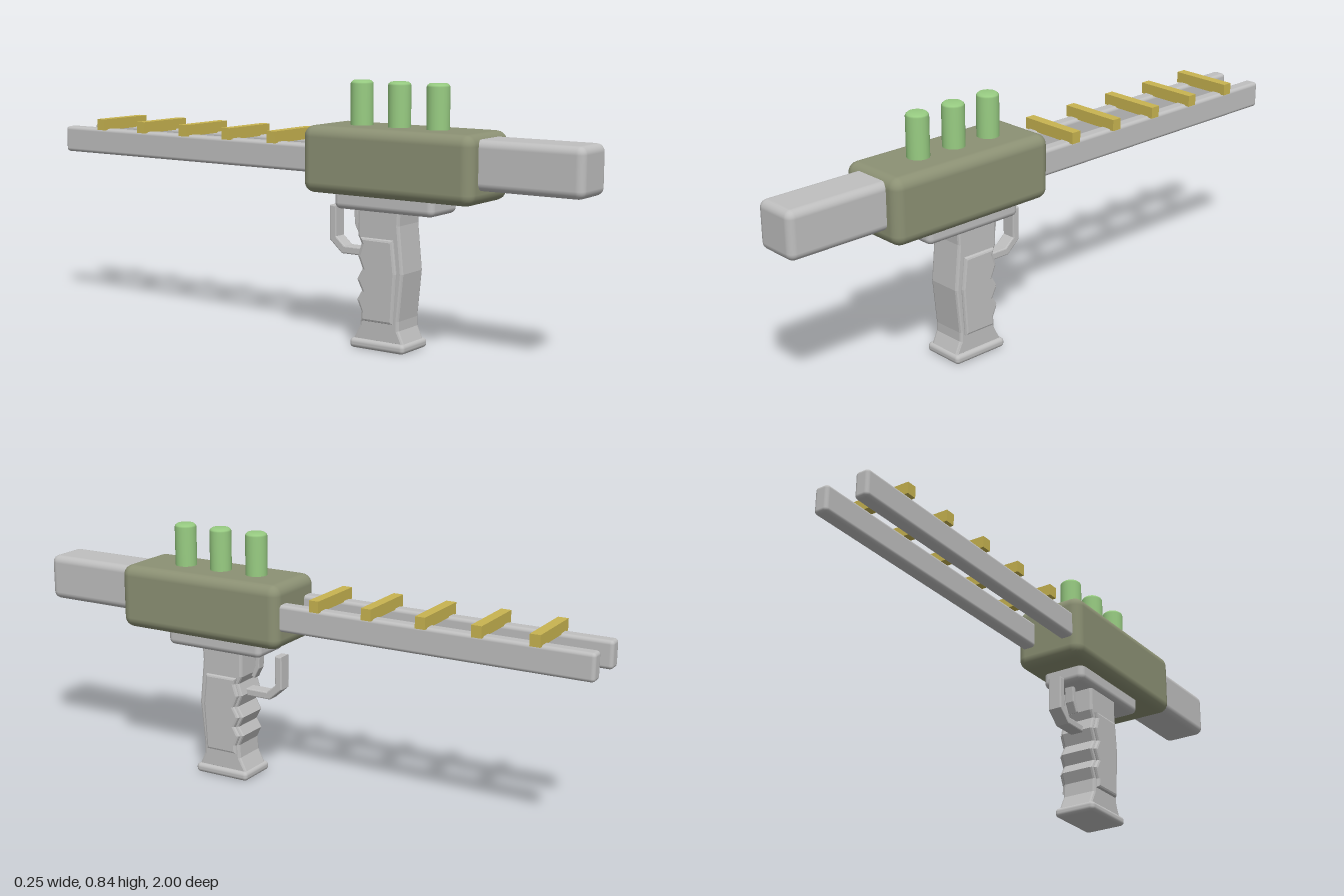
import * as THREE from 'three';
import { RoundedBoxGeometry } from 'three/addons/geometries/RoundedBoxGeometry.js';

const mat = (name, color) => {
  const m = new THREE.MeshStandardMaterial({ color });
  m.name = name;
  return m;
};

export function createModel() {
  const grey = mat('grey metal', 0xbfbfbf);
  const olive = mat('olive', 0x8c9174);
  const green = mat('light green', 0x98cc82);
  const gold = mat('gold', 0xc8b450);
  const model = new THREE.Group();

  const add = (name, geometry, material) => {
    const mesh = new THREE.Mesh(geometry, material);
    mesh.name = name;
    model.add(mesh);
    return mesh;
  };

  // Rounded box given by its limits on each axis
  const block = (name, [x0, x1], [y0, y1], [z0, z1], r, material) =>
    add(name, new RoundedBoxGeometry(x1 - x0, y1 - y0, z1 - z0, 3, r), material)
      .position.set((x0 + x1) / 2, (y0 + y1) / 2, (z0 + z1) / 2);

  // Side outline of [z, y] points, extruded across x with a small bevel
  const profile = (name, points, halfWidth, bevel, material) => {
    const shape = new THREE.Shape(points.map(([z, y]) => new THREE.Vector2(z, y)));
    const depth = 2 * (halfWidth - bevel);
    const geo = new THREE.ExtrudeGeometry(shape, {
      depth, bevelEnabled: true, bevelThickness: bevel, bevelSize: bevel,
      bevelOffset: -bevel, bevelSegments: 2,
    });
    geo.translate(0, 0, -depth / 2);
    geo.rotateY(-Math.PI / 2);
    return add(name, geo, material);
  };

  // Main housing, rear block and mounting plate
  block('body', [-0.123, 0.123], [0.487, 0.7], [0.05, 0.663], 0.035, olive);
  block('frontBlock', [-0.077, 0.077], [0.532, 0.685], [0.6, 1], 0.025, grey);
  block('gripMount', [-0.077, 0.077], [0.438, 0.53], [0.143, 0.507], 0.02, grey);

  // Twin rails with rungs across the top
  for (const s of [-1, 1]) {
    const x = s * 0.074;
    block(s < 0 ? 'rightRail' : 'leftRail', [x - 0.024, x + 0.024], [0.549, 0.638], [-1, 0.1], 0.012, grey);
  }
  for (let i = 0; i < 5; i++) {
    add('rung' + (i + 1), new THREE.BoxGeometry(0.216, 0.038, 0.034), gold)
      .position.set(0, 0.653, -0.079 - i * 0.185);
  }

  // Three pins on the housing
  const pinOutline = [[0.036, 0], [0.036, 0.148], [0.034, 0.153], [0.028, 0.158], [0, 0.158]];
  for (let i = 0; i < 3; i++) {
    const side = new THREE.LatheGeometry(pinOutline.map(([r, y]) => new THREE.Vector2(r, y)), 20);
    add('pin' + (i + 1), side, green).position.set(0, 0.682, 0.478 - i * 0.139);
  }

  // Pistol grip with finger grooves
  profile('grip', [
    [0.38, 0.45], [0.377, 0.4], [0.392, 0.25], [0.377, 0.1], [0.378, 0.07], [0.398, 0.025],
    [0.21, 0.025], [0.235, 0.075], [0.238, 0.12], [0.222, 0.155], [0.24, 0.185],
    [0.222, 0.22], [0.242, 0.255], [0.225, 0.295], [0.238, 0.335], [0.225, 0.36], [0.225, 0.45],
  ], 0.061, 0.008, grey);

  // Raised side panels of the grip
  profile('gripPanels', [
    [0.36, 0.355], [0.372, 0.25], [0.362, 0.09], [0.245, 0.09], [0.247, 0.12], [0.232, 0.155],
    [0.25, 0.185], [0.232, 0.22], [0.252, 0.255], [0.235, 0.295], [0.248, 0.335], [0.242, 0.355],
  ], 0.072, 0.008, grey);
  block('gripFoot', [-0.074, 0.074], [0, 0.031], [0.203, 0.405], 0.013, grey);

  // Trigger and its open guard
  profile('trigger', [
    [0.198, 0.45], [0.2, 0.395], [0.215, 0.355], [0.203, 0.35], [0.185, 0.385], [0.18, 0.45],
  ], 0.016, 0.003, grey);
  profile('triggerGuard', [
    [0.24, 0.312], [0.15, 0.312], [0.118, 0.34], [0.118, 0.44], [0.093, 0.44],
    [0.093, 0.328], [0.14, 0.287], [0.24, 0.287],
  ], 0.024, 0.004, grey);

  return model;
}
